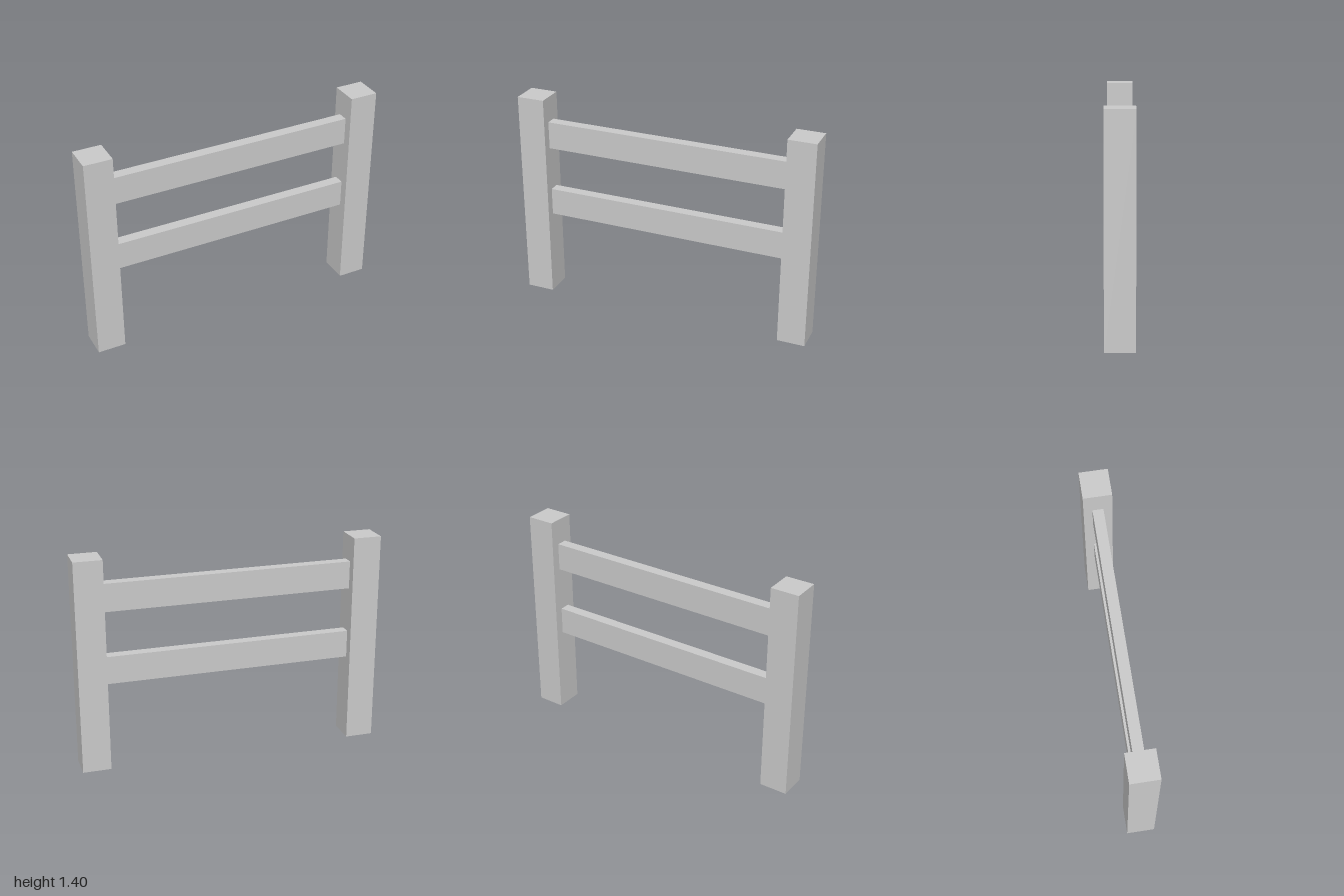
import * as THREE from 'three';

const HEIGHT = 1.4, POST = 0.184, RAIL_HEIGHT = 0.183, RAIL_DEPTH = 0.07;

export function createModel() {
  const fence = new THREE.Group();
  fence.name = 'fence';
  const material = new THREE.MeshStandardMaterial({ color: 0xcccccc, flatShading: true });

  const addBox = (name, size, position) => {
    const mesh = new THREE.Mesh(new THREE.BoxGeometry(...size), material);
    mesh.name = name;
    mesh.position.set(...position);
    fence.add(mesh);
  };

  // Square posts at either end
  for (const [name, side] of [['leftPost', 1], ['rightPost', -1]]) {
    addBox(name, [POST, HEIGHT, POST], [side * (1 - POST / 2), HEIGHT / 2, 0]);
  }

  // Thin horizontal rails spanning between the posts
  for (const [name, y] of [['lowerRail', 0.66], ['upperRail', 1.14]]) {
    addBox(name, [2 - 2 * POST, RAIL_HEIGHT, RAIL_DEPTH], [0, y, 0]);
  }

  return fence;
}
